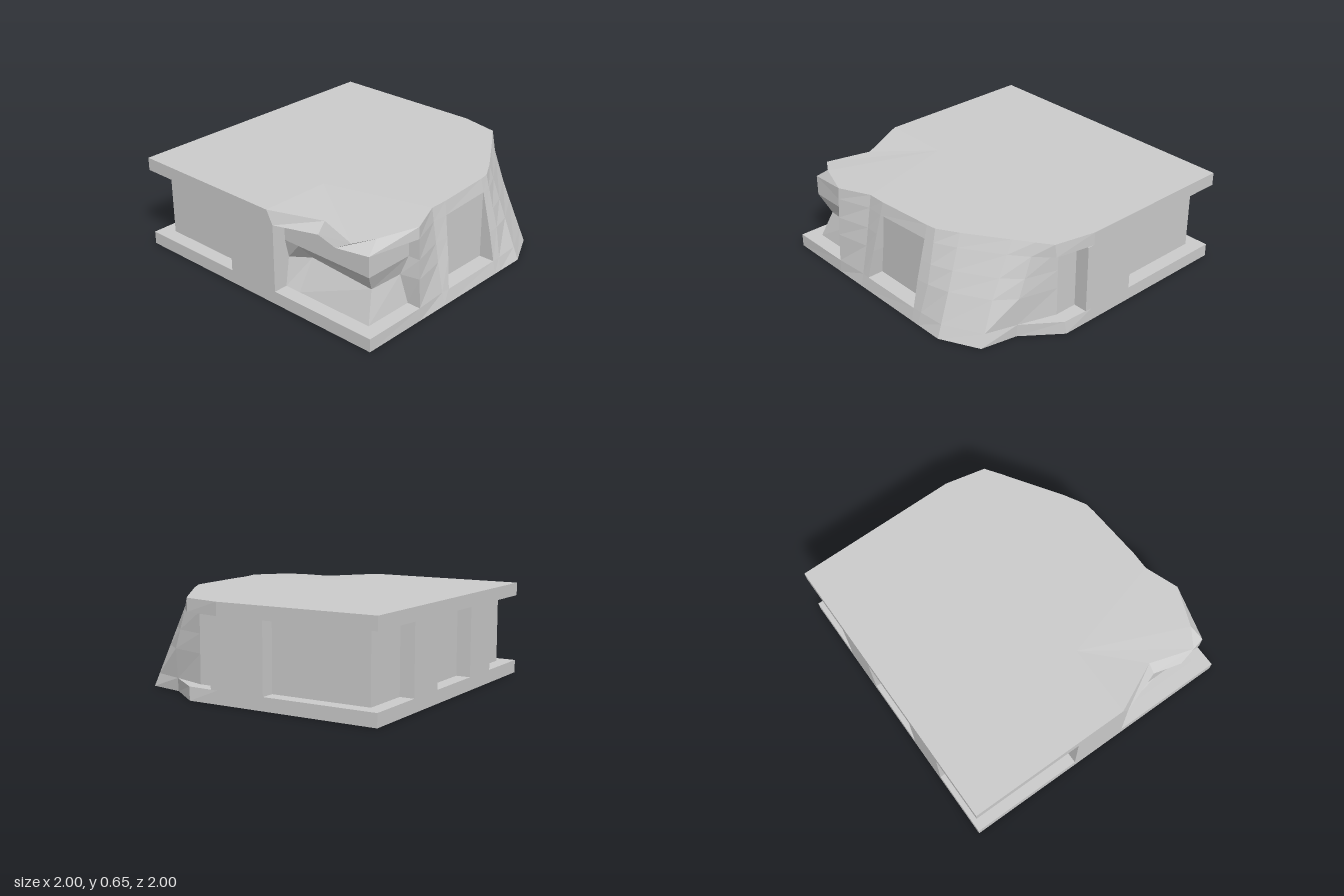
import * as THREE from 'three';

const H = 0.65, LOW = 0.09, MID = 0.29, HIGH = 0.56;
const lerp = THREE.MathUtils.lerp;

// Broken right side: each column is [x, z] at the base, mid height and top.
const columns = [
  [[1, 0.54], [0.99, 0.54], [0.97, 0.53]],
  [[1, 0.3], [0.94, 0.3], [0.88, 0.3]],
  [[1, 0.25], [0.95, 0.21], [0.88, 0.17]],
  [[1, -0.24], [0.94, -0.24], [0.85, -0.24]],
  [[1, -0.3], [0.93, -0.33], [0.84, -0.31]],
  [[1, -0.5], [0.89, -0.48], [0.76, -0.45]],
  [[0.87, -0.76], [0.75, -0.73], [0.58, -0.72]],
  [[0.62, -0.81], [0.62, -0.83], [0.5, -0.84]],
  [[0.37, -1], [0.4, -0.97], [0.43, -0.94]],
];

// Broken side outline at a given height
function side(y) {
  return columns.map(([a, b, c]) => {
    const [p, q, t] = y < MID ? [a, b, y / MID] : [b, c, (y - MID) / (H - MID)];
    return [lerp(p[0], q[0], t), lerp(p[1], q[1], t)];
  });
}

// Outline points [x, z, optional y] to vectors
const ring = (pts, y) => pts.map(([x, z, py]) => new THREE.Vector3(x, py ?? y, z));

// Triangles between stacked rings
function loft(rings) {
  const tris = [];
  for (let k = 0; k < rings.length - 1; k++) {
    const a = rings[k], b = rings[k + 1], n = a.length;
    for (let i = 0; i < n; i++) {
      const j = (i + 1) % n;
      tris.push(a[i], a[j], b[j], a[i], b[j], b[i]);
    }
  }
  return tris;
}

// Flat cap filling one ring
function cap(r, up) {
  const contour = r.map((p) => new THREE.Vector2(p.x, -p.z));
  return THREE.ShapeUtils.triangulateShape(contour, []).flatMap(([a, b, c]) =>
    up ? [r[a], r[b], r[c]] : [r[a], r[c], r[b]]);
}

function makeMesh(name, tris) {
  const geometry = new THREE.BufferGeometry().setFromPoints(tris);
  geometry.computeVertexNormals();
  const material = new THREE.MeshStandardMaterial({ color: 0xcccccc, flatShading: true });
  const mesh = new THREE.Mesh(geometry, material);
  mesh.name = name;
  return mesh;
}

// Floor slab, whole along the front and left
function floorSlab() {
  const at = (y) => ring([[-1, 1], [1, 1], ...side(y), [0.15, -1], [-1, -1]], y);
  const low = at(0), top = at(LOW);
  return makeMesh('floorSlab', [...cap(low, false), ...loft([low, top]), ...cap(top, true)]);
}

// Walls with recessed windows and the dented front corner
function walls() {
  const at = (y, dent) => {
    const s = side(y);
    return ring([
      [-0.9, 0.9], [-0.2, 0.9], [-0.2, 1], [0.2, 1],
      ...dent,
      ...s.slice(0, 3),
      [0.87, s[2][1]], [0.87, -0.24], // right window pane
      ...s.slice(3, -1),
      [0.36, -0.9], [0.2, -0.9], [0.2, -1], [-0.2, -1], [-0.2, -0.9], [-0.9, -0.9],
      [-0.9, -0.55], [-1, -0.55], [-1, -0.24], [-0.9, -0.24],
      [-0.9, 0.24], [-1, 0.24], [-1, 0.55], [-0.9, 0.55],
    ], y);
  };
  const flush = [[0.2, 0.9], [0.32, 0.9], [0.9, 0.9], [0.9, 0.54]];
  const dented = [[0.2, 0.87], [0.32, 0.78], [0.85, 0.82], [0.86, 0.57]];
  return makeMesh('walls', loft([at(LOW, flush), at(MID, dented), at(0.42, flush), at(HIGH, flush)]));
}

// Roof slab with a ragged, sagging front right corner
function roofSlab() {
  const back = [[0.15, -1], [-1, -1]];
  const topSide = side(H);
  topSide[0].push(0.64);
  const ragged = [[0.15, 1], [0.49, 0.84, 0.63], [0.79, 0.93, 0.62], [0.87, 0.8, 0.63]];
  const low = ring([[-1, 1], [0.2, 1], [0.49, 0.9], [0.68, 0.95], [0.9, 0.9], ...side(HIGH), ...back], HIGH);
  const top = ring([[-1, 1], ...ragged, ...topSide, ...back], H);
  const flat = ring([[-1, 1], [0.15, 1], [0.15, 0.5], ...topSide, ...back], H);
  const tris = [...cap(low, false), ...loft([low, top]), ...cap(flat, true)];
  // Creases fanning out over the sagging corner
  const edge = ring([...ragged, topSide[0]], H);
  const apex = new THREE.Vector3(0.15, H, 0.5);
  for (let i = 0; i < edge.length - 1; i++) tris.push(apex, edge[i], edge[i + 1]);
  return makeMesh('roofSlab', tris);
}

export function createModel() {
  const group = new THREE.Group();
  group.name = 'damagedBuildingFloor';
  group.add(floorSlab(), walls(), roofSlab());
  return group;
}
